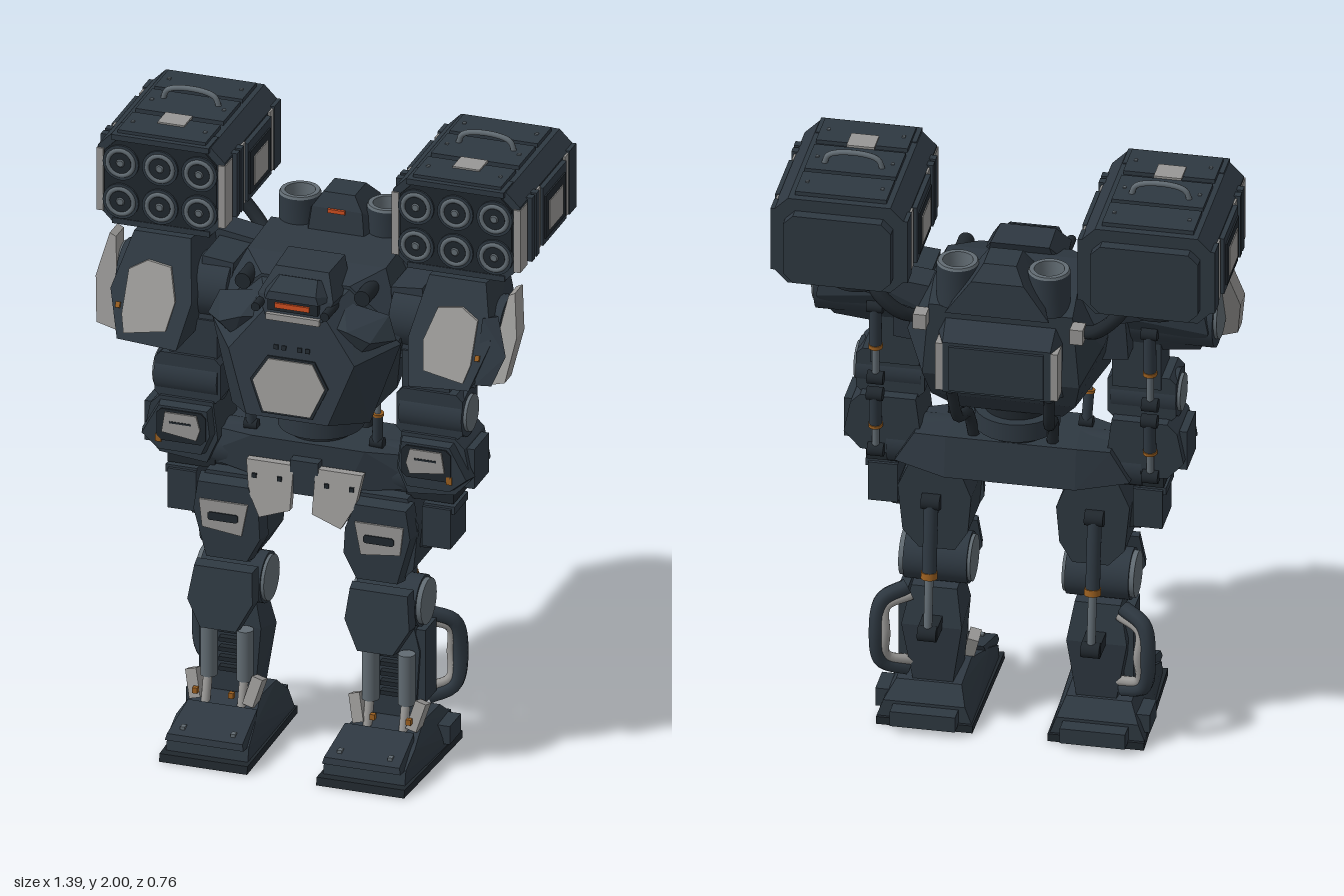
import * as THREE from 'three';
import { ConvexGeometry } from 'three/addons/geometries/ConvexGeometry.js';
import { toCreasedNormals } from 'three/addons/utils/BufferGeometryUtils.js';

const flat = (name, color) => Object.assign(new THREE.MeshStandardMaterial({ color }), { name });

export function createModel() {
  const armour = flat('armour', 0x2e3841), shade = flat('darkMetal', 0x20272d);
  const panel = flat('palePanel', 0x989795), steel = flat('steel', 0x616b72);
  const orange = flat('orangeGlow', 0xcf4f20), brass = flat('brass', 0x9a5f20);
  const model = new THREE.Group();
  model.name = 'walkerRobot';
  let parent = model, s = 1; // s mirrors x: +1 left side, -1 right side

  const V = (x, y, z) => new THREE.Vector3(x * s, y, z);
  const add = (name, mat, geo) => {
    const m = new THREE.Mesh(geo, mat);
    m.name = name;
    parent.add(m);
    return m;
  };
  const group = (name, fn) => {
    const old = parent;
    parent = new THREE.Group();
    parent.name = name;
    old.add(parent);
    fn();
    parent = old;
  };
  const box = (name, mat, [x, y, z], size, [rx, ry, rz] = [0, 0, 0]) => {
    const m = add(name, mat, new THREE.BoxGeometry(...size));
    m.position.copy(V(x, y, z));
    m.rotation.set(rx, ry * s, rz * s);
  };
  // faceted solid around points; sym adds the points mirrored in x
  const hull = (name, mat, pts, sym = false) => {
    const v = pts.map(p => V(...p));
    if (sym) pts.forEach(([x, y, z]) => v.push(V(-x, y, z)));
    add(name, mat, new ConvexGeometry(v));
  };
  // convex xy outline from z0 to z1, with the front shrunk by the factor k; z may depend on y
  const plate = (name, mat, outline, z0, z1, k = 1, zf = () => 0) => {
    const n = outline.length;
    const cx = outline.reduce((a, p) => a + p[0], 0) / n, cy = outline.reduce((a, p) => a + p[1], 0) / n;
    const at = (f, z) => outline.map(([x, y]) => {
      const Y = cy + (y - cy) * f;
      return [cx + (x - cx) * f, Y, z + zf(Y)];
    });
    hull(name, mat, [...at(1, z0), ...at(k, z1)]);
  };
  const oct = (cx, cy, w, h, c) => [[w - c, h], [w, h - c], [w, c - h], [w - c, -h], [c - w, -h], [-w, c - h], [-w, h - c], [c - w, h]]
    .map(([x, y]) => [cx + x, cy + y]);
  const rod = (name, mat, a, b, r, r2 = r, sides = 24) => {
    const A = V(...a), B = V(...b), d = B.clone().sub(A);
    const m = add(name, mat, new THREE.CylinderGeometry(r2, r, d.length(), sides));
    m.position.copy(A).addScaledVector(d, 0.5);
    m.quaternion.setFromUnitVectors(new THREE.Vector3(0, 1, 0), d.normalize());
  };
  const lathe = (name, mat, profile, x, z) => {
    const geo = new THREE.LatheGeometry(profile.map(p => new THREE.Vector2(...p)), 24);
    add(name, mat, toCreasedNormals(geo, 0.6)).position.copy(V(x, 0, z));
  };
  const hose = (name, mat, pts, r) =>
    add(name, mat, new THREE.TubeGeometry(new THREE.CatmullRomCurve3(pts.map(p => V(...p))), 24, r, 8));
  const piston = (a, b, r) => {
    const mid = t => a.map((v, i) => v + (b[i] - v) * t);
    rod('pistonSleeve', armour, a, mid(0.55), r);
    rod('pistonCollar', brass, mid(0.53), mid(0.58), r * 1.15);
    rod('pistonRod', steel, mid(0.55), b, r * 0.6);
    for (const [x, y, z] of [a, b]) rod('pistonPin', shade, [x - r * 1.3, y, z], [x + r * 1.3, y, z], r * 1.1);
  };

  group('torso', () => {
    hull('torsoShell', armour, [[0.22, 1.6, -0.15], [0.22, 1.59, 0.06], [0.14, 1.56, 0.16], [0.3, 1.42, 0.14], [0.3, 1.42, -0.16], [0.22, 1.55, -0.23],
      [0.24, 1.31, -0.23], [0.22, 1.22, -0.19], [0.27, 1.22, 0.1], [0.18, 1.12, 0.16], [0.16, 1.12, -0.08]], true);
    hull('chestPlate', armour, [[0.14, 1.55, 0.16], [0.3, 1.39, 0.15], [0.22, 1.14, 0.2],
      [0.09, 1.5, 0.258], [0.2, 1.36, 0.287], [0.13, 1.17, 0.326]], true);
    const tilt = y => 0.328 - (y - 1.16) * 0.206;
    const hex = k => [[0.07, 0.08], [0.115, 0.01], [0.075, -0.08], [-0.075, -0.08], [-0.115, 0.01], [-0.07, 0.08]].map(([x, y]) => [x * k, 1.27 + y * k]);
    plate('chestWindowRim', shade, hex(1.08), -0.002, 0.005, 1, tilt);
    plate('chestWindow', panel, hex(1), 0, 0.01, 1, tilt);
    for (const i of [-2, -1, 1, 2]) box('chestVent', shade, [i * 0.025, 1.385, tilt(1.385)], [0.014, 0.014, 0.01], [-0.2, 0, 0]);
    // back pack
    hull('backPack', armour, [[0.17, 1.53, -0.2], [0.2, 1.46, -0.2], [0.19, 1.26, -0.2], [0.165, 1.46, -0.295], [0.165, 1.29, -0.295]], true);
    for (const x of [-0.175, 0.175]) box('backStrip', panel, [x, 1.375, -0.265], [0.025, 0.16, 0.06]);
    box('backDoor', armour, [0, 1.375, -0.298], [0.29, 0.15, 0.012]);
    // exhaust tower between the two stacks
    hull('tower', armour, [[0.08, 1.56, -0.11], [0.08, 1.67, -0.12], [0.05, 1.715, -0.14], [0.05, 1.715, -0.24], [0.08, 1.67, -0.28], [0.16, 1.56, -0.29], [0.1, 1.5, -0.1]], true);
    box('towerLight', orange, [0, 1.665, -0.117], [0.055, 0.012, 0.01]);
    // head
    hull('head', armour, [[0.12, 1.47, 0.12], [0.13, 1.54, 0.12], [0.09, 1.615, 0.06], [0.085, 1.61, 0.19], [0.12, 1.54, 0.25], [0.09, 1.48, 0.27]], true);
    hull('headBrow', armour, [[0.1, 1.565, 0.15], [0.12, 1.54, 0.2], [0.085, 1.54, 0.285], [0.075, 1.565, 0.28], [0.06, 1.595, 0.22]], true);
    box('visorFrame', shade, [0, 1.52, 0.265], [0.16, 0.036, 0.025]);
    box('visor', orange, [0, 1.522, 0.28], [0.11, 0.016, 0.009]);
    box('chin', panel, [0, 1.48, 0.27], [0.17, 0.02, 0.02]);
    // waist
    rod('waistRing', armour, [0, 1.03, 0.02], [0, 1.09, 0.02], 0.13, 0.13, 28);
    rod('waistNeck', shade, [0, 0.98, 0.02], [0, 1.16, 0.02], 0.1, 0.1, 28);
  });

  group('pelvis', () => {
    hull('pelvisBlock', armour, [[0.3, 1.0, 0.1], [0.3, 1.0, -0.06], [0.18, 1.01, 0.14], [0.2, 1.01, -0.08], [0.36, 0.9, 0.1], [0.36, 0.9, -0.06],
      [0.12, 0.87, 0.14], [0.2, 0.88, -0.1], [0.05, 0.84, 0.06]], true);
    box('pelvisCentre', armour, [0, 0.91, 0.14], [0.09, 0.11, 0.07]);
  });

  const buildPod = () => {
    const X = 0.47, Y = 1.79;
    plate('podBody', armour, oct(X, Y, 0.202, 0.145, 0.045), -0.35, 0.13);
    plate('podRearCap', armour, oct(X, Y - 0.01, 0.165, 0.115, 0.03), -0.34, -0.385);
    plate('podFace', shade, oct(X, Y, 0.178, 0.13, 0.04), 0.12, 0.137);
    for (const y of [1.649, 1.929]) box('podFaceRail', armour, [X, y, y > 1.8 ? 0.1 : -0.1], [0.31, 0.018, y > 1.8 ? 0.09 : 0.47]);
    for (const i of [-1, 0, 1]) for (const y of [1.72, 1.847]) { // launch tubes
      const x = X + i * 0.125;
      rod('tube', armour, [x, y, 0.12], [x, y, 0.144], 0.057);
      add('tubeRing', steel, new THREE.TorusGeometry(0.041, 0.008, 8, 24)).position.copy(V(x, y, 0.142));
      rod('tubeBore', shade, [x, y, 0.14], [x, y, 0.146], 0.034);
      rod('warhead', steel, [x, y, 0.14], [x, y, 0.15], 0.018, 0.01);
    }
    for (const d of [-1, 1]) { // side panels
      const x = X + d * 0.2;
      box('frontCornerPlate', panel, [X + d * 0.194, Y - 0.01, 0.103], [0.022, 0.205, 0.066]);
      for (const z of [0.05, 0.012]) box('sideRib', armour, [x, Y, z], [0.034, 0.21, 0.026]);
      box('sidePlate', armour, [x, Y, -0.14], [0.034, 0.19, 0.21]);
      for (const z of [-0.022, -0.272]) box('sideStrip', panel, [x, Y, z], [0.016, 0.2, 0.032]);
      box('sideWindowRim', shade, [X + d * 0.216, Y - 0.005, -0.135], [0.012, 0.14, 0.18]);
      box('sideWindow', panel, [X + d * 0.221, Y - 0.01, -0.135], [0.008, 0.095, 0.122]);
      box('rearRib', armour, [x, Y, -0.32], [0.02, 0.21, 0.06]);
    }
    for (const [z, d] of [[-0.263, 0.125], [-0.108, 0.15], [0.06, 0.135]]) { // lid plates
      box('lidPlate', armour, [X, 1.94, z], [0.28, 0.016, d]);
      for (const i of [-1, 1]) box('lidBolt', steel, [X + i * 0.115, 1.949, z], [0.01, 0.006, 0.01]);
    }
    box('lidLabelPlate', panel, [X, 1.949, 0.008], [0.085, 0.008, 0.075]);
    hose('carryHandle', steel, [[X - 0.09, 1.94, -0.135], [X - 0.075, 1.975, -0.135], [X, 1.99, -0.135], [X + 0.075, 1.975, -0.135], [X + 0.09, 1.94, -0.135]], 0.009);
    // mount below the pod
    rod('podTurret', shade, [X - 0.01, 1.55, -0.12], [X - 0.01, 1.66, -0.12], 0.085, 0.1);
    hull('podBracket', armour, [[0.2, 1.46, -0.15], [0.2, 1.56, -0.15], [0.2, 1.46, -0.05], [0.2, 1.56, -0.05], [0.5, 1.6, -0.16], [0.5, 1.52, -0.06], [0.5, 1.6, -0.06], [0.48, 1.53, -0.14]]);
    hose('podHose', shade, [[0.4, 1.65, -0.22], [0.37, 1.6, -0.27], [0.3, 1.53, -0.26], [0.22, 1.48, -0.18]], 0.022);
    box('hoseClamp', panel, [0.24, 1.51, -0.25], [0.04, 0.05, 0.05]);
  };

  const buildArm = () => {
    const slope = y => 0.13 + (1.6 - y) * 0.54;
    const front = [[0.38, 1.62], [0.56, 1.62], [0.605, 1.46], [0.56, 1.33], [0.37, 1.32], [0.345, 1.45]];
    hull('shoulderArmour', armour, [...front.map(([x, y]) => [x, y, slope(y)]), [0.37, 1.6, -0.06], [0.57, 1.6, -0.06], [0.6, 1.44, -0.06], [0.56, 1.34, 0.02], [0.36, 1.32, 0.02], [0.35, 1.48, -0.08]]);
    plate('shoulderFacePlate', panel, [[0.425, 1.54], [0.5, 1.55], [0.555, 1.52], [0.555, 1.4], [0.54, 1.35], [0.41, 1.37], [0.395, 1.45]], -0.001, 0.009, 1, slope);
    box('shoulderMark', brass, [0.572, 1.42, slope(1.42) + 0.003], [0.014, 0.018, 0.012], [-0.5, 0, 0]);
    hull('outerShoulderPlate', panel, [[0.645, 1.59, 0.1], [0.645, 1.59, 0.03], [0.67, 1.47, 0.155], [0.67, 1.47, 0.085], [0.65, 1.34, 0.205], [0.65, 1.34, 0.145],
      [0.625, 1.58, 0.1], [0.625, 1.58, 0.03], [0.585, 1.32, 0.2], [0.585, 1.32, 0.145]]);
    if (s > 0) hull('shoulderGuard', armour, [[0.57, 1.53, 0.18], [0.61, 1.53, 0.15], [0.655, 1.43, 0.21], [0.62, 1.34, 0.24], [0.57, 1.34, 0.25], [0.57, 1.5, 0.08], [0.57, 1.36, 0.1]]);
    rod('shoulderJoint', armour, [0.26, 1.45, 0.05], [0.61, 1.45, 0.05], 0.1, 0.1, 28);
    rod('shoulderCap', steel, [0.6, 1.46, 0.05], [0.62, 1.46, 0.05], 0.082, 0.082, 28);
    hull('shoulderRoot', armour, [[0.25, 1.55, 0.1], [0.35, 1.56, 0.1], [0.36, 1.34, 0.12], [0.27, 1.33, 0.12], [0.25, 1.55, -0.1], [0.35, 1.56, -0.1], [0.36, 1.34, -0.08], [0.27, 1.33, -0.08]]);
    // upper arm, elbow and forearm
    box('upperArm', armour, [0.37, 1.28, 0.06], [0.15, 0.16, 0.13]);
    plate('elbowBlock', armour, oct(0.385, 1.165, 0.105, 0.075, 0.02), 0, 0.135);
    rod('elbowJoint', armour, [0.29, 1.16, 0.07], [0.49, 1.16, 0.07], 0.075);
    rod('elbowCap', steel, [0.48, 1.16, 0.07], [0.5, 1.16, 0.07], 0.058);
    plate('forearm', armour, [[0.3, 1.1], [0.47, 1.1], [0.5, 1.07], [0.52, 0.97], [0.47, 0.915], [0.32, 0.9], [0.285, 0.98]], -0.035, 0.145);
    plate('forearmCuff', armour, [[0.3, 1.09], [0.47, 1.09], [0.53, 0.98], [0.47, 0.93], [0.32, 0.93], [0.29, 1.0]], 0.13, 0.175, 0.9);
    box('handBlock', shade, [0.38, 0.91, 0.05], [0.15, 0.08, 0.13]);
    box('forearmSidePlate', armour, [0.51, 1.0, 0.06], [0.03, 0.13, 0.13]);
    plate('forearmWindowRim', shade, oct(0.39, 1.022, 0.078, 0.052, 0.015), 0.17, 0.18);
    plate('forearmWindow', panel, [[0.34, 1.065], [0.44, 1.065], [0.45, 1.0], [0.34, 0.985], [0.328, 1.02]], 0.175, 0.186);
    box('forearmSlot', shade, [0.39, 1.035, 0.186], [0.07, 0.006, 0.004]);
    box('forearmMark', brass, [0.463, 0.975, 0.17], [0.018, 0.025, 0.02]);
    piston([0.42, 1.42, -0.05], [0.42, 1.17, -0.045], 0.019);
    piston([0.42, 1.12, -0.055], [0.42, 0.92, -0.04], 0.019);
  };

  const buildLeg = () => {
    const X = 0.25, hip = [[0.035, 0.945], [0.185, 0.945], [0.17, 0.85], [0.13, 0.778], [0.035, 0.81]];
    plate('hipPlate', panel, hip, -0.025, 0, 1, y => 0.17 + (0.945 - y) * 0.25);
    for (const x of [0.075, 0.155]) box('hipBolt', shade, [x, 0.9, 0.182], [0.014, 0.014, 0.01]);
    rod('hipJoint', armour, [0.14, 0.93, 0.04], [0.39, 0.93, 0.04], 0.08);
    // thigh
    plate('thigh', armour, [[0.17, 0.88], [0.32, 0.88], [0.355, 0.8], [0.34, 0.65], [0.29, 0.595], [0.18, 0.595], [0.14, 0.66], [0.13, 0.78]], -0.035, 0.15);
    plate('thighArmour', armour, [[0.165, 0.87], [0.34, 0.87], [0.355, 0.77], [0.31, 0.605], [0.17, 0.605], [0.125, 0.69], [0.13, 0.78]], 0.14, 0.195, 0.92);
    plate('thighWindow', panel, [[0.17, 0.805], [0.325, 0.805], [0.315, 0.715], [0.19, 0.7]], 0.19, 0.202);
    plate('thighSlot', shade, oct(0.248, 0.755, 0.048, 0.013, 0.005), 0.2, 0.206);
    box('thighSideBox', armour, [0.405, 0.79, 0.06], [0.09, 0.13, 0.14]);
    box('thighSideLid', armour, [0.41, 0.85, 0.06], [0.1, 0.025, 0.12]);
    box('thighMount', shade, [0.35, 0.75, 0.06], [0.06, 0.08, 0.1]);
    // knee
    rod('kneeJoint', armour, [0.15, 0.515, 0.07], [0.345, 0.515, 0.07], 0.08, 0.08, 28);
    for (const x of [0.15, 0.35]) rod('kneeCap', steel, [x - 0.01, 0.515, 0.07], [x + 0.01, 0.515, 0.07], 0.072, 0.072, 28);
    const knee = [[0.15, 0.59], [0.345, 0.59], [0.36, 0.48], [0.31, 0.395], [0.19, 0.395], [0.14, 0.49]];
    plate('kneeGuard', armour, knee, 0, 0.04, 0.94, y => 0.162 + (0.59 - y) * 0.22);
    box('kneeBracket', shade, [X, 0.51, 0.14], [0.12, 0.08, 0.08]);
    piston([0.25, 0.76, -0.045], [0.25, 0.335, -0.1], 0.022);
    box('calfBracket', shade, [0.25, 0.335, -0.06], [0.06, 0.04, 0.09]);
    // shin
    hull('shin', armour, [[0.18, 0.45, 0.1], [0.32, 0.45, 0.1], [0.345, 0.36, 0.11], [0.16, 0.36, 0.11], [0.33, 0.12, 0.11], [0.18, 0.12, 0.11],
      [0.18, 0.44, 0], [0.32, 0.44, 0], [0.345, 0.32, -0.03], [0.16, 0.32, -0.03], [0.31, 0.12, -0.02], [0.19, 0.12, -0.02]]);
    for (const x of [0.2, 0.315]) {
      rod('shinCylinder', steel, [x, 0.2, 0.14], [x, 0.365, 0.14], 0.026);
      rod('ankleRod', panel, [x, 0.12, 0.17], [x, 0.22, 0.145], 0.014);
      box('ankleMark', brass, [x + 0.025, 0.165, 0.19], [0.016, 0.018, 0.016]);
    }
    for (let i = 0; i < 5; i++) box('shinRung', shade, [0.257, 0.22 + i * 0.032, 0.118], [0.06, 0.014, 0.03]);
    box('shinSidePlate', armour, [0.345, 0.31, 0.05], [0.03, 0.24, 0.1]);
    const arc = k => [[0.33, 0.3 + 0.14 * k, -0.01], [0.4, 0.3 + 0.105 * k, -0.045], [0.335 + 0.08 * k, 0.3, -0.06], [0.4, 0.3 - 0.105 * k, -0.045], [0.33, 0.3 - 0.14 * k, -0.01]];
    hose('calfGuard', armour, arc(1), 0.024);
    hose('calfGuardLiner', panel, arc(0.8).map(([x, y, z]) => [x - 0.012, y, z]), 0.016);
    // foot
    const wide = (y, z, a, b) => [[a, y, z], [b, y, z]];
    hull('sole', shade, [...wide(0, 0.375, 0.11, 0.39), ...wide(0.025, 0.37, 0.11, 0.39), ...wide(0, -0.09, 0.115, 0.41), ...wide(0.025, -0.09, 0.115, 0.41)]);
    hull('footShell', armour, [...wide(0.025, 0.34, 0.12, 0.38), ...wide(0.07, 0.33, 0.12, 0.38), ...wide(0.105, 0.25, 0.13, 0.38), ...wide(0.14, 0.12, 0.16, 0.36),
      ...wide(0.13, -0.03, 0.16, 0.36), ...wide(0.08, -0.08, 0.14, 0.39), ...wide(0.025, -0.08, 0.12, 0.41)]);
    hull('toeCap', armour, [...wide(0.07, 0.365, 0.125, 0.375), ...wide(0.09, 0.36, 0.13, 0.37), ...wide(0.135, 0.2, 0.14, 0.36), ...wide(0.06, 0.24, 0.125, 0.375)]);
    for (const x of [0.17, 0.33]) box('toeBolt', steel, [x, 0.1, 0.325], [0.014, 0.014, 0.02]);
    box('heel', armour, [X + 0.01, 0.045, -0.1], [0.2, 0.05, 0.06]);
    box('footSideBlock', armour, [0.395, 0.07, 0], [0.05, 0.06, 0.1]);
    for (const [x, r] of [[0.165, 0.25], [0.355, -0.25]]) box('anklePlate', panel, [x, 0.17, 0.15], [0.035, 0.09, 0.05], [-0.3, 0, r]);
  };

  for (s of [1, -1]) {
    const side = s > 0 ? 'left' : 'right';
    group(side + 'LauncherPod', buildPod);
    group(side + 'Arm', buildArm);
    group(side + 'Leg', buildLeg);
    group(side + 'TorsoFittings', () => {
      lathe('exhaustStack', armour, [[0.064, 1.55], [0.064, 1.68]], 0.14, -0.185);
      lathe('exhaustRim', steel, [[0.064, 1.68], [0.06, 1.688], [0.046, 1.688], [0.043, 1.6]], 0.14, -0.185);
      rod('exhaustGlow', orange, [0.14, 1.55, -0.185], [0.14, 1.61, -0.185], 0.044);
      hull('collarArmour', armour, [[0.1, 1.46, 0.24], [0.17, 1.46, 0.27], [0.24, 1.43, 0.26], [0.3, 1.42, 0.19], [0.27, 1.49, 0.17], [0.13, 1.52, 0.18], [0.2, 1.38, 0.24]]);
      rod('sensor', shade, [0.19, 1.54, 0.1], [0.19, 1.54, 0.19], 0.025);
      rod('headLamp', shade, [0.11, 1.515, 0.2], [0.11, 1.515, 0.3], 0.014);
      piston([0.2, 1.02, 0.08], [0.21, 1.2, 0.1], 0.016);
      hose('waistHose', shade, [[0.12, 1.0, -0.04], [0.13, 1.1, -0.08], [0.14, 1.15, -0.19], [0.15, 1.27, -0.24]], 0.018);
    });
  }
  return model;
}
